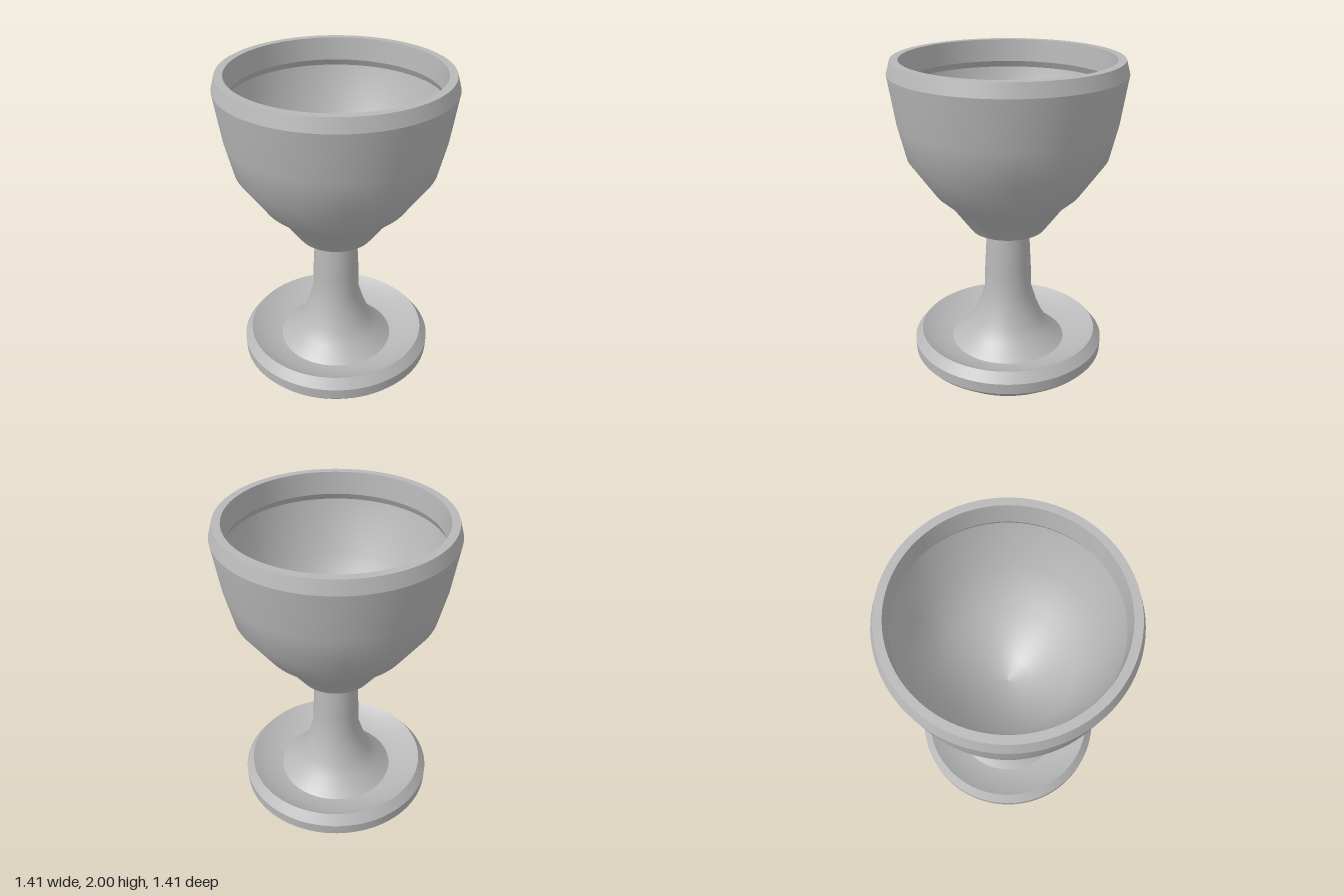
import * as THREE from 'three';

export function createModel() {
  const group = new THREE.Group();
  group.name = 'goblet';
  const grey = new THREE.MeshStandardMaterial({ color: 0xb8b8b8 });
  grey.name = 'plain grey';

  // Each band is a smooth surface of revolution; bands meet at sharp edges.
  // Points [radius, height] run so that the solid lies on the left of the path.
  function part(name, bands) {
    const g = new THREE.Group();
    g.name = name;
    bands.forEach((band, i) => {
      const points = band.map(([r, y]) => new THREE.Vector2(r, y));
      const mesh = new THREE.Mesh(new THREE.LatheGeometry(points, 96), grey);
      mesh.name = `${name}Band${i + 1}`;
      g.add(mesh);
    });
    group.add(g);
  }

  // Foot: hollow underside, chamfered edge and dished top
  part('foot', [
    [[0, 0.12], [0.14, 0.11], [0.3, 0.075], [0.495, 0]],
    [[0.495, 0], [0.595, 0.08], [0.612, 0.1]],
    [[0.612, 0.1], [0.615, 0.17]],
    [[0.615, 0.17], [0.568, 0.23]],
    [[0.568, 0.23], [0.47, 0.17], [0.367, 0.15]],
  ]);

  // Stem: flared at the bottom, tapering to the cup
  part('stem', [
    [[0.367, 0.15], [0.275, 0.23], [0.225, 0.31], [0.187, 0.4], [0.15, 0.52], [0.148, 0.65], [0.135, 0.9]],
  ]);

  // Cup outside and its lip
  part('cupOutside', [
    [[0.13, 0.897], [0.235, 0.94]],
    [[0.235, 0.94], [0.36, 1.11], [0.45, 1.19], [0.61, 1.42], [0.66, 1.63], [0.703, 1.92]],
    [[0.703, 1.92], [0.68, 2]],
    [[0.68, 2], [0.632, 2]],
  ]);

  // Cup inside: lip wall, small undercut, then the rounded bowl
  part('cupInside', [
    [[0.632, 2], [0.62, 1.86]],
    [[0.62, 1.86], [0.64, 1.82]],
    [[0.64, 1.82], [0.56, 1.5], [0.4, 1.25], [0.15, 1.05], [0, 1.02]],
  ]);

  return group;
}
